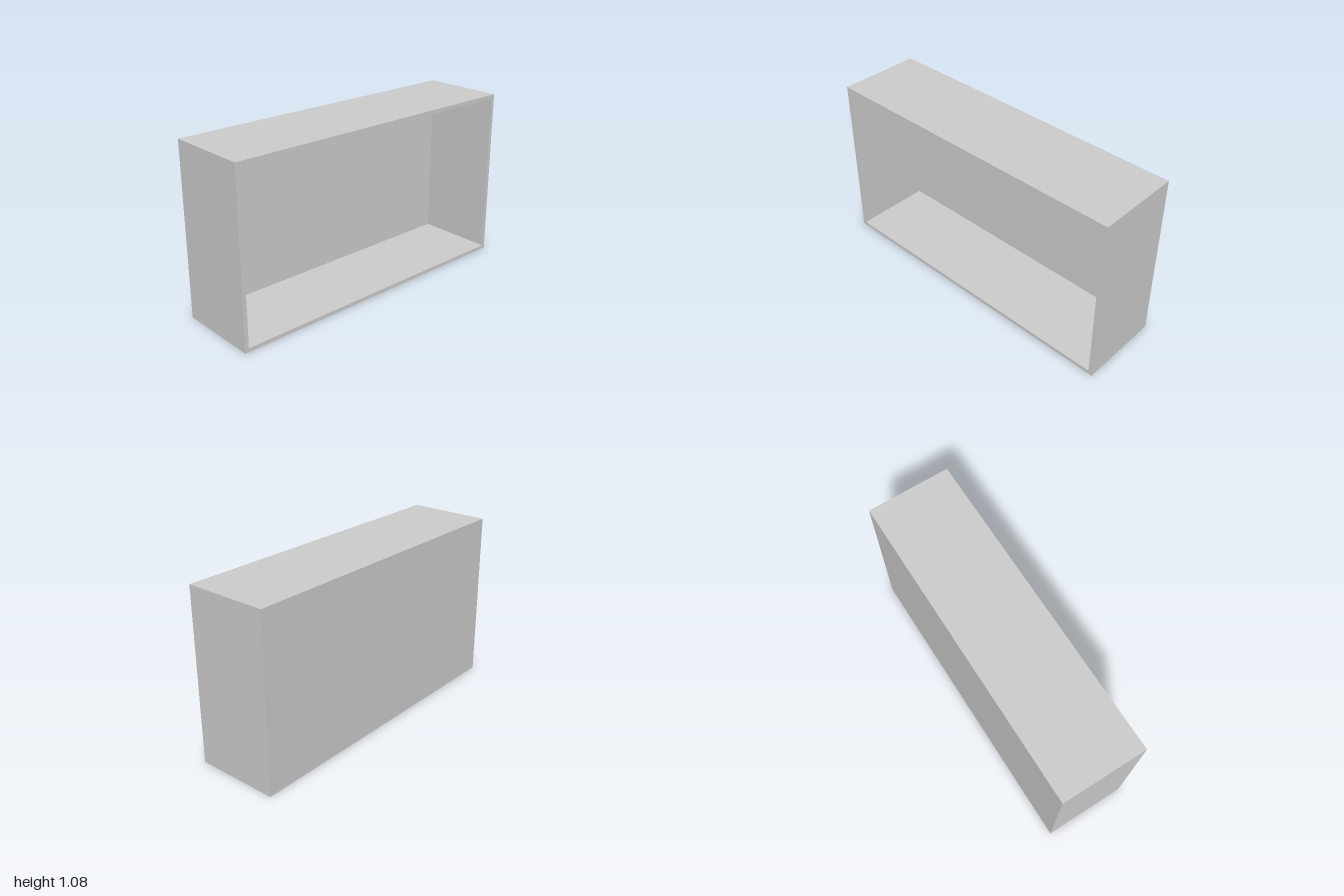
import * as THREE from 'three';

const W = 2, H = 1.08, D = 0.525, T = 0.024; // outer size and wall thickness

// Counter-clockwise rectangle standing on y = 0, shrunk by an inset
function rectangle(PathType, inset) {
  const x = W / 2 - inset, bottom = inset, top = H - inset;
  return new PathType([
    new THREE.Vector2(-x, bottom), new THREE.Vector2(x, bottom),
    new THREE.Vector2(x, top), new THREE.Vector2(-x, top),
  ]);
}

export function createModel() {
  const group = new THREE.Group();
  group.name = 'openBox';
  const material = new THREE.MeshStandardMaterial({ color: 0xcccccc });

  // Four walls as one rectangular tube, open at the front
  const outline = rectangle(THREE.Shape, 0);
  outline.holes.push(rectangle(THREE.Path, T));
  const walls = new THREE.Mesh(
    new THREE.ExtrudeGeometry(outline, { depth: D - T, bevelEnabled: false }), material);
  walls.name = 'walls';
  walls.position.z = -D / 2 + T;
  group.add(walls);

  // Back panel closing the tube
  const back = new THREE.Mesh(new THREE.BoxGeometry(W, H, T), material);
  back.name = 'backPanel';
  back.position.set(0, H / 2, -D / 2 + T / 2);
  group.add(back);

  return group;
}
